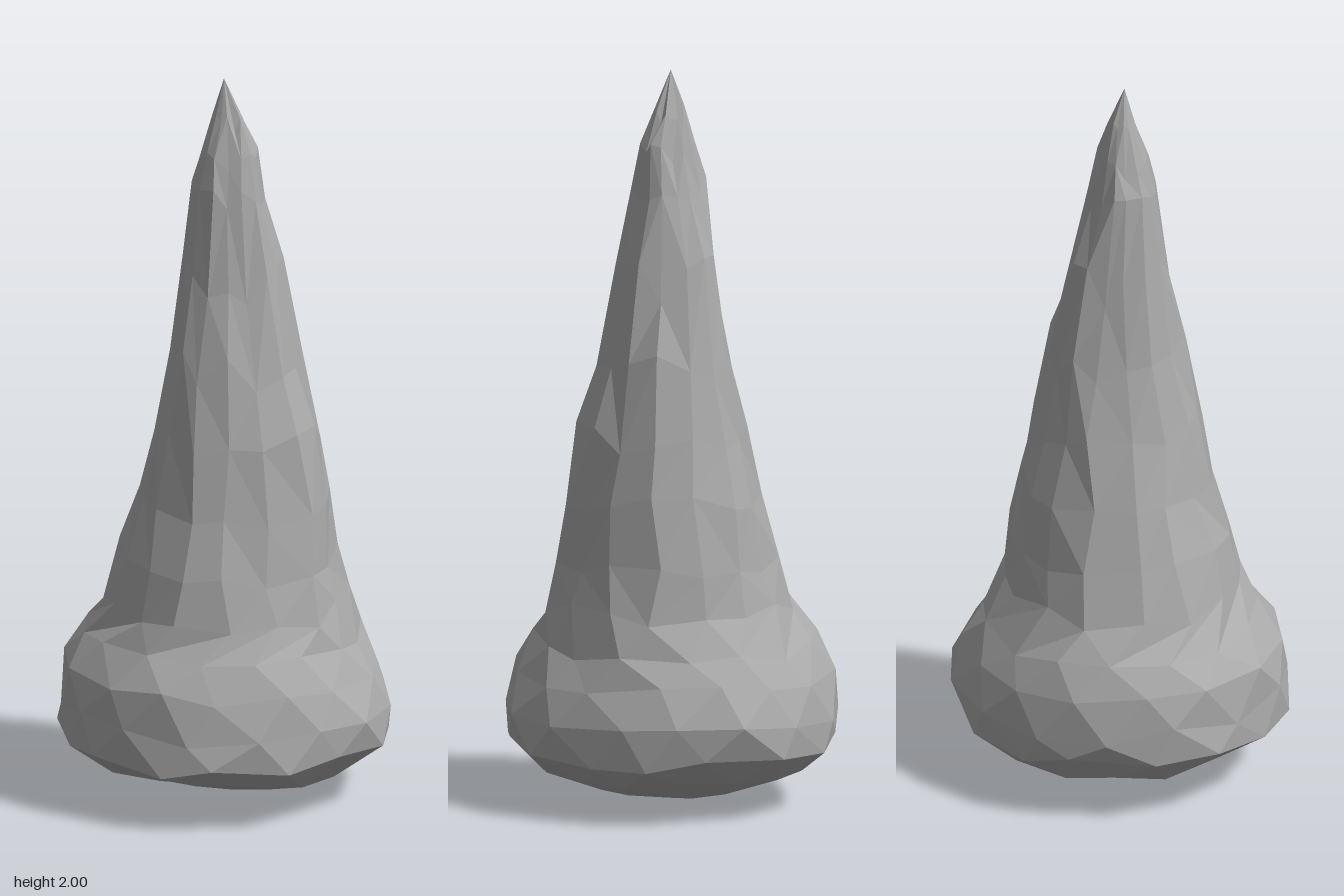
import * as THREE from 'three';

// Cross-sections: height, extents toward -x, +x, -z, +z
const RINGS = [
  [0.045, 0.20, 0.22, 0.22, 0.20],
  [0.10, 0.36, 0.35, 0.36, 0.36],
  [0.17, 0.46, 0.445, 0.45, 0.455],
  [0.26, 0.458, 0.445, 0.46, 0.462],
  [0.36, 0.45, 0.405, 0.425, 0.44],
  [0.44, 0.40, 0.36, 0.375, 0.375],
  [0.54, 0.335, 0.33, 0.325, 0.335],
  [0.66, 0.29, 0.305, 0.305, 0.30],
  [0.84, 0.24, 0.285, 0.27, 0.255],
  [1.01, 0.19, 0.255, 0.24, 0.225],
  [1.21, 0.15, 0.20, 0.20, 0.185],
  [1.45, 0.118, 0.15, 0.145, 0.135],
  [1.68, 0.098, 0.105, 0.09, 0.098],
  [1.78, 0.075, 0.083, 0.06, 0.075],
  [1.89, 0.042, 0.045, 0.035, 0.04],
];
const SIDES = 15;

function seeded(seed) {
  return () => {
    seed = (seed * 16807) % 2147483647;
    return seed / 2147483647;
  };
}

// Closed faceted surface from irregular rings and two end points
function rockGeometry() {
  const rand = seeded(4217);
  const jitter = (amount) => (rand() * 2 - 1) * amount;
  const flutes = Array.from({ length: SIDES }, () => jitter(0.045));

  const rings = RINGS.map(([y, left, right, back, front], i) => {
    const shaft = y > 0.5;
    const gap = Math.min(y - (i ? RINGS[i - 1][0] : 0), (RINGS[i + 1]?.[0] ?? 2) - y);
    return Array.from({ length: SIDES }, (_, j) => {
      // the foot is staggered, the shaft keeps its long vertical ridges
      const stagger = shaft ? 0 : (i % 2) * 0.5;
      const a = ((j + stagger + jitter(0.16)) / SIDES) * Math.PI * 2;
      const r = 0.995 + jitter(0.025) + (shaft ? flutes[j] : 0);
      const c = Math.cos(a), s = Math.sin(a);
      return [
        c * r * (c > 0 ? right : left),
        y + jitter(gap * 0.28),
        s * r * (s > 0 ? front : back),
      ];
    });
  });

  const positions = [];
  const tri = (a, b, c) => positions.push(...a, ...b, ...c);
  const base = [0, 0, 0], tip = [-0.008, 2, 0.008];
  const last = rings.length - 1;
  for (let j = 0; j < SIDES; j++) {
    const k = (j + 1) % SIDES;
    tri(base, rings[0][j], rings[0][k]);
    tri(rings[last][j], tip, rings[last][k]);
    for (let i = 0; i < last; i++) {
      const a = rings[i][j], b = rings[i][k];
      const c = rings[i + 1][j], d = rings[i + 1][k];
      // the diagonal follows the stagger on the foot and varies on the shaft
      const flip = RINGS[i + 1][0] < 0.5 ? i % 2 === 0 : rand() < 0.5;
      if (flip) {
        tri(a, c, b);
        tri(b, c, d);
      } else {
        tri(a, c, d);
        tri(a, d, b);
      }
    }
  }
  const geometry = new THREE.BufferGeometry();
  geometry.setAttribute('position', new THREE.Float32BufferAttribute(positions, 3));
  geometry.computeVertexNormals();
  return geometry;
}

export function createModel() {
  const stone = new THREE.MeshStandardMaterial({ color: 0xaaaaaa });
  stone.name = 'greyStone';
  stone.flatShading = true;

  // Tapering spire with a swollen foot
  const spire = new THREE.Mesh(rockGeometry(), stone);
  spire.name = 'rockSpire';

  const group = new THREE.Group();
  group.name = 'stalagmite';
  group.add(spire);
  return group;
}
